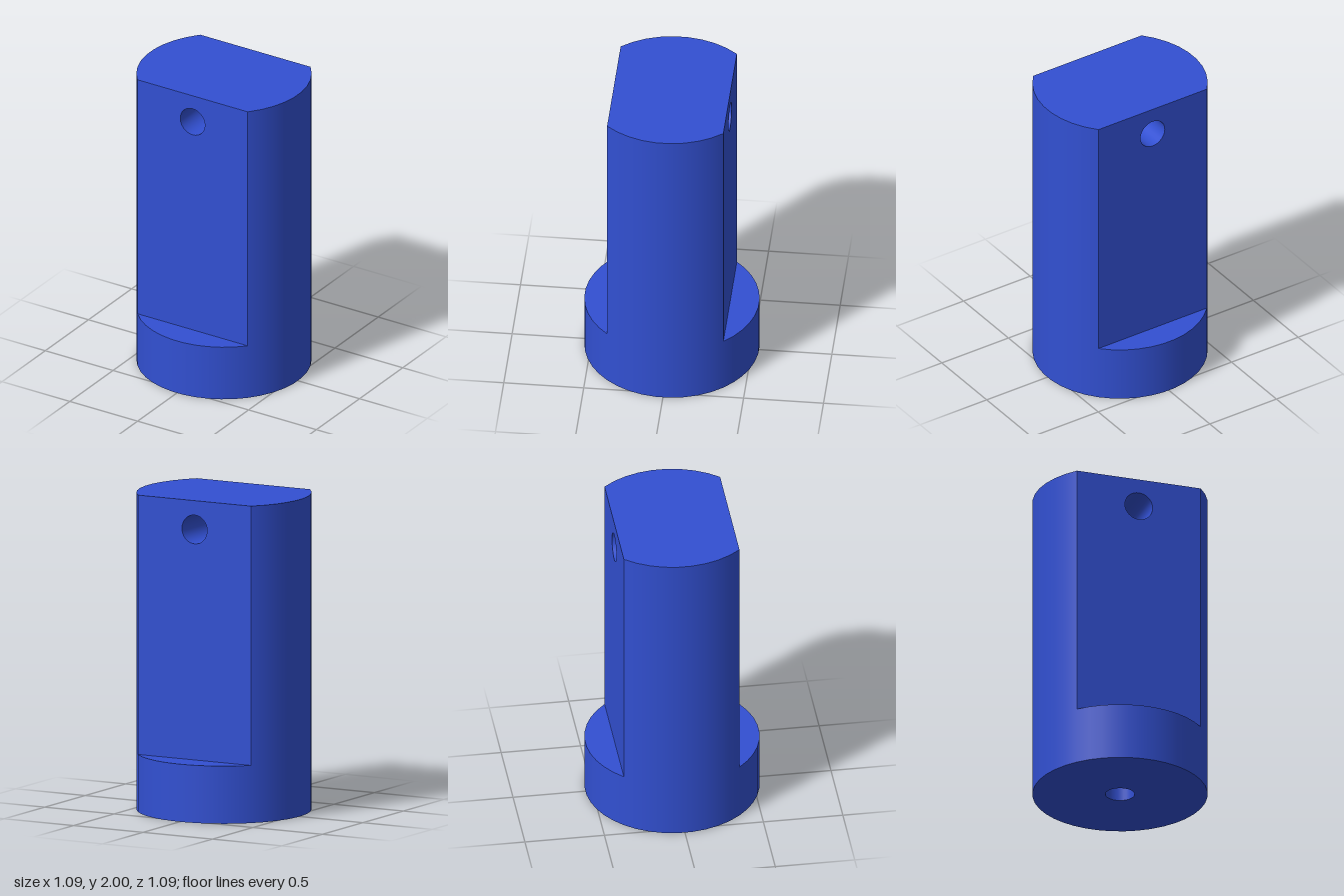
import * as THREE from 'three';

const R = 0.5455;        // outer radius
const FLAT = 0.3636;     // distance of the milled flats from the axis
const H = 2;             // total height
const BASE = 0.3636;     // height of the round foot
const HOLE = 0.091;      // radius of both holes
const CROSS_Y = 1.818;   // height of the cross hole
const BORE = 0.3636;     // depth of the hole in the foot
const A = Math.asin(FLAT / R);           // angle where a flat meets the round side
const W = R * Math.cos(A);               // half width of a flat
const SIDE_SEG = 9, FLAT_SEG = 11, HOLE_SEG = 32;

// points on the outer circle from angle a to b, both included
function arc(a, b, n) {
  return Array.from({ length: n + 1 }, (_, i) => {
    const t = a + (b - a) * i / n;
    return new THREE.Vector2(R * Math.cos(t), R * Math.sin(t));
  });
}

function circleHole(x, y) {
  const p = new THREE.Path();
  p.absarc(x, y, HOLE, 0, Math.PI * 2, true);
  return p;
}

export function createModel() {
  const model = new THREE.Group();
  const blue = new THREE.MeshStandardMaterial({ color: 0x3250d2 });
  const inner = new THREE.MeshStandardMaterial({ color: 0x3250d2, side: THREE.DoubleSide });

  const add = (parent, name, geometry, material = blue) => {
    const mesh = new THREE.Mesh(geometry, material);
    mesh.name = name;
    parent.add(mesh);
    return mesh;
  };
  // horizontal face at height y, facing up or down
  const level = (shape, y, up = true) =>
    new THREE.ShapeGeometry(shape, HOLE_SEG / 2).rotateX(up ? -Math.PI / 2 : Math.PI / 2).translate(0, y, 0);

  const right = arc(-A, A, SIDE_SEG), front = arc(A, Math.PI - A, FLAT_SEG);
  const left = arc(Math.PI - A, Math.PI + A, SIDE_SEG), back = arc(Math.PI + A, 2 * Math.PI - A, FLAT_SEG);

  // top and bottom faces
  add(model, 'topFace', level(new THREE.Shape([...right, ...left]), H));
  const foot = new THREE.Shape([...right, ...front.slice(1), ...left.slice(1), ...back.slice(1, -1)]);
  foot.holes.push(circleHole(0, 0));
  add(model, 'bottomFace', level(foot, 0, false));

  // flat with the cross hole opening
  const flat = new THREE.Shape([
    new THREE.Vector2(-W, BASE), new THREE.Vector2(W, BASE),
    new THREE.Vector2(W, H), new THREE.Vector2(-W, H),
  ]);
  flat.holes.push(circleHole(0, CROSS_Y));

  // each half: round side, foot wall, ledge and flat, repeated by a half turn
  for (const [name, turn] of [['frontHalf', 0], ['backHalf', Math.PI]]) {
    const half = new THREE.Group();
    half.name = name;
    half.rotation.y = turn;
    add(half, 'roundSide', new THREE.CylinderGeometry(R, R, H, SIDE_SEG, 1, true, Math.PI / 2 - A, 2 * A)
      .translate(0, H / 2, 0));
    add(half, 'footWall', new THREE.CylinderGeometry(R, R, BASE, FLAT_SEG, 1, true, A - Math.PI / 2, Math.PI - 2 * A)
      .translate(0, BASE / 2, 0));
    add(half, 'ledge', level(new THREE.Shape(back), BASE));
    add(half, 'flat', new THREE.ShapeGeometry(flat, HOLE_SEG / 2).translate(0, 0, FLAT));
    model.add(half);
  }

  // cross hole through both flats
  add(model, 'crossHole', new THREE.CylinderGeometry(HOLE, HOLE, 2 * FLAT, HOLE_SEG, 1, true)
    .rotateX(Math.PI / 2).translate(0, CROSS_Y, 0), inner);

  // blind hole in the foot
  add(model, 'footHole', new THREE.CylinderGeometry(HOLE, HOLE, BORE, HOLE_SEG, 1, true)
    .translate(0, BORE / 2, 0), inner);
  add(model, 'footHoleEnd', new THREE.CircleGeometry(HOLE, HOLE_SEG)
    .rotateX(Math.PI / 2).translate(0, BORE, 0));

  return model;
}
